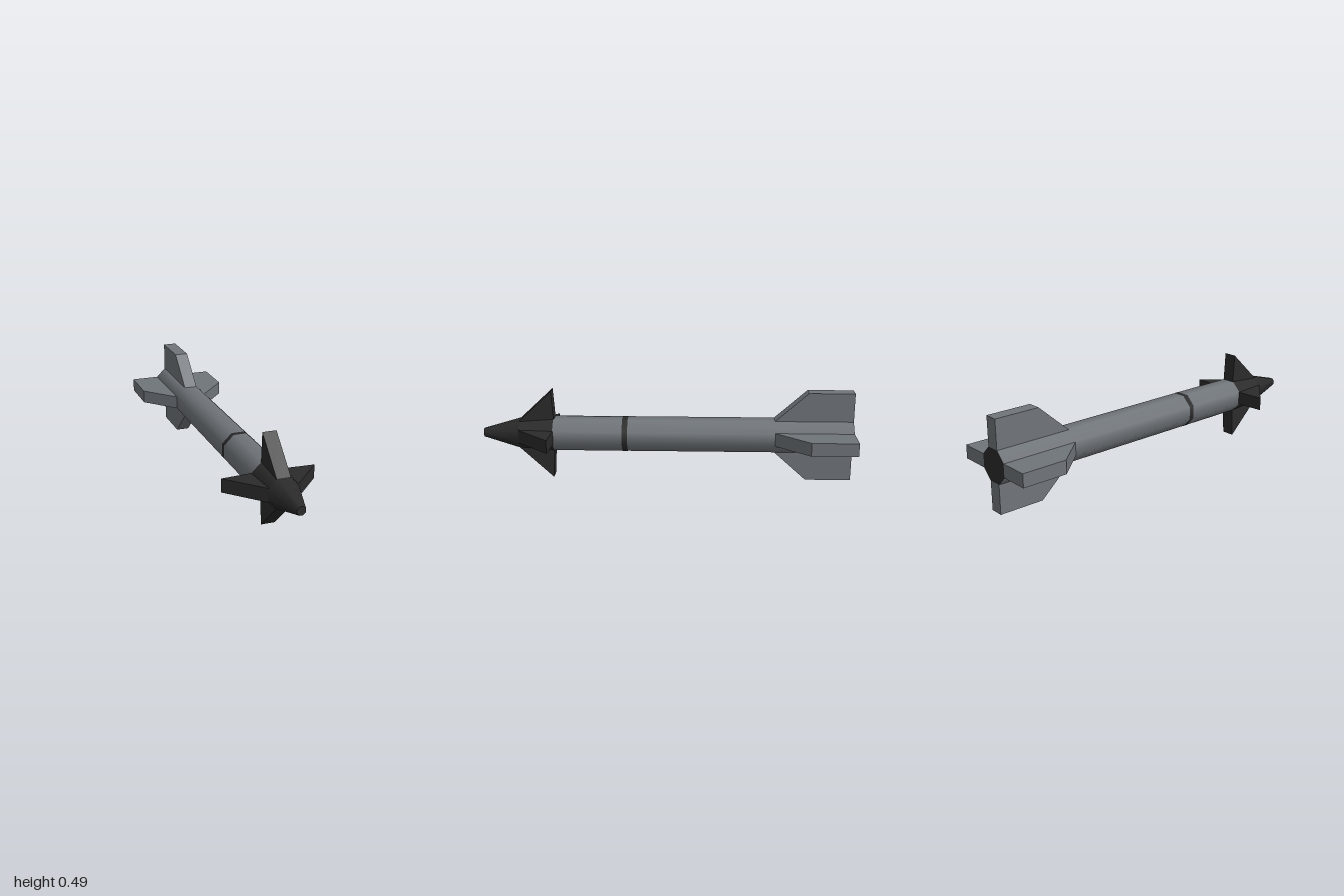
import * as THREE from 'three';

export function createModel() {
  const model = new THREE.Group();
  model.name = 'missile';

  const grey = new THREE.MeshStandardMaterial({ name: 'bodyGrey', color: 0x70757a });
  const dark = new THREE.MeshStandardMaterial({ name: 'darkTrim', color: 0x2b2b2b });

  const axisY = 0.244;          // height of the long axis
  const apothem = 0.0873;       // centre to flat of the octagonal body
  const finWidth = 0.0722;      // one facet wide

  // Octagonal tube or cone along z, with flats facing up, down and sideways
  function section(name, z0, a0, z1, a1, materials, open = false) {
    const k = 1 / Math.cos(Math.PI / 8);
    const geo = new THREE.CylinderGeometry(a1 * k, a0 * k, z1 - z0, 8, 1, open, Math.PI / 8);
    geo.rotateX(Math.PI / 2);
    const mesh = new THREE.Mesh(geo, materials);
    mesh.name = name;
    mesh.position.set(0, axisY, (z0 + z1) / 2);
    model.add(mesh);
  }

  // Four identical fins, from an outline of [z, radius] points
  function finSet(name, outline, material) {
    const shape = new THREE.Shape(outline.map(([z, r]) => new THREE.Vector2(z, r)));
    const geo = new THREE.ExtrudeGeometry(shape, { depth: finWidth, bevelEnabled: false });
    geo.translate(0, 0, -finWidth / 2);
    geo.rotateY(-Math.PI / 2);
    const set = new THREE.Group();
    set.name = name + 's';
    set.position.y = axisY;
    for (let i = 0; i < 4; i++) {
      const fin = new THREE.Mesh(geo, material);
      fin.name = name;
      fin.rotation.z = i * Math.PI / 2;
      set.add(fin);
    }
    model.add(set);
  }

  // Body with a dark tail end, and a thin painted band
  section('body', -1, apothem, 0.615, apothem, [grey, grey, dark]);
  section('band', 0.212, apothem + 0.001, 0.242, apothem + 0.001, dark, true);

  // Nose: slight taper, then the blunt cone
  section('noseCollar', 0.615, apothem, 0.8, 0.077, dark, true);
  section('noseCone', 0.8, 0.077, 1, 0.022, dark);

  finSet('noseFin', [[0.612, 0.06], [0.8, 0.06], [0.8, 0.077], [0.622, 0.244], [0.612, 0.088]], dark);
  finSet('tailFin', [[-1, apothem], [-0.58, apothem], [-0.755, 0.244], [-1, 0.244]], grey);

  return model;
}
